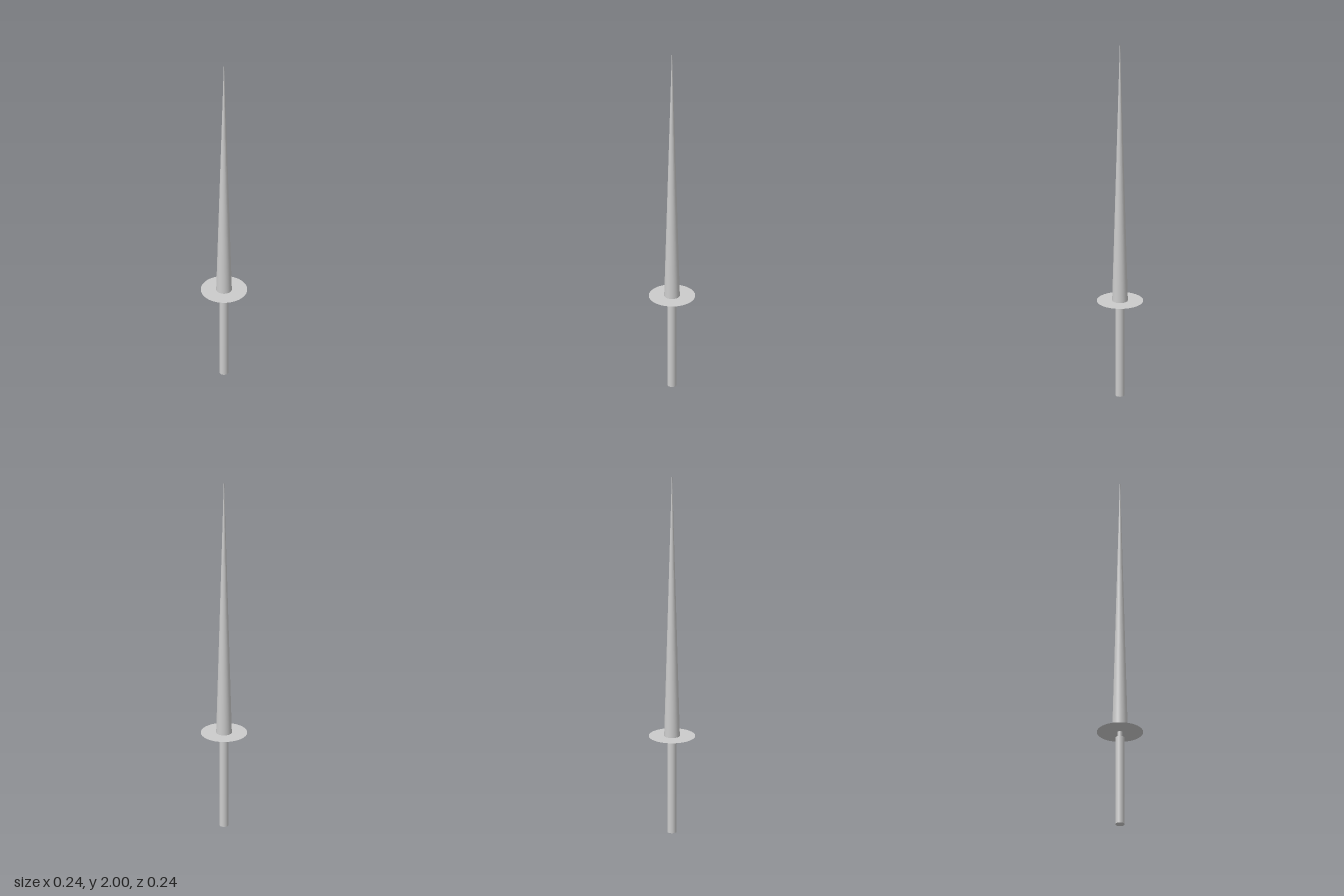
import * as THREE from 'three';

const SIDES = 32;
const GUARD_Y = 0.53;
const GRIP_TOP = 0.497;

export function createModel() {
  const model = new THREE.Group();
  const material = new THREE.MeshStandardMaterial({ color: 0xcccccc });
  const thin = new THREE.MeshStandardMaterial({ color: 0xcccccc, side: THREE.DoubleSide });

  // Round part standing between two heights
  function addRound(name, bottomRadius, topRadius, y0, y1) {
    const geometry = new THREE.CylinderGeometry(topRadius, bottomRadius, y1 - y0, SIDES);
    const mesh = new THREE.Mesh(geometry, material);
    mesh.name = name;
    mesh.position.y = (y0 + y1) / 2;
    model.add(mesh);
  }

  addRound('grip', 0.024, 0.024, 0, GRIP_TOP);
  addRound('neck', 0.013, 0.013, GRIP_TOP, GUARD_Y);
  // Long blade tapering to a point
  addRound('blade', 0.041, 0, GUARD_Y, 2);

  // Paper-thin round hand guard
  const guard = new THREE.Mesh(new THREE.CircleGeometry(0.121, 48), thin);
  guard.name = 'guard';
  guard.rotation.x = -Math.PI / 2;
  guard.position.y = GUARD_Y - 0.001;
  model.add(guard);

  return model;
}
